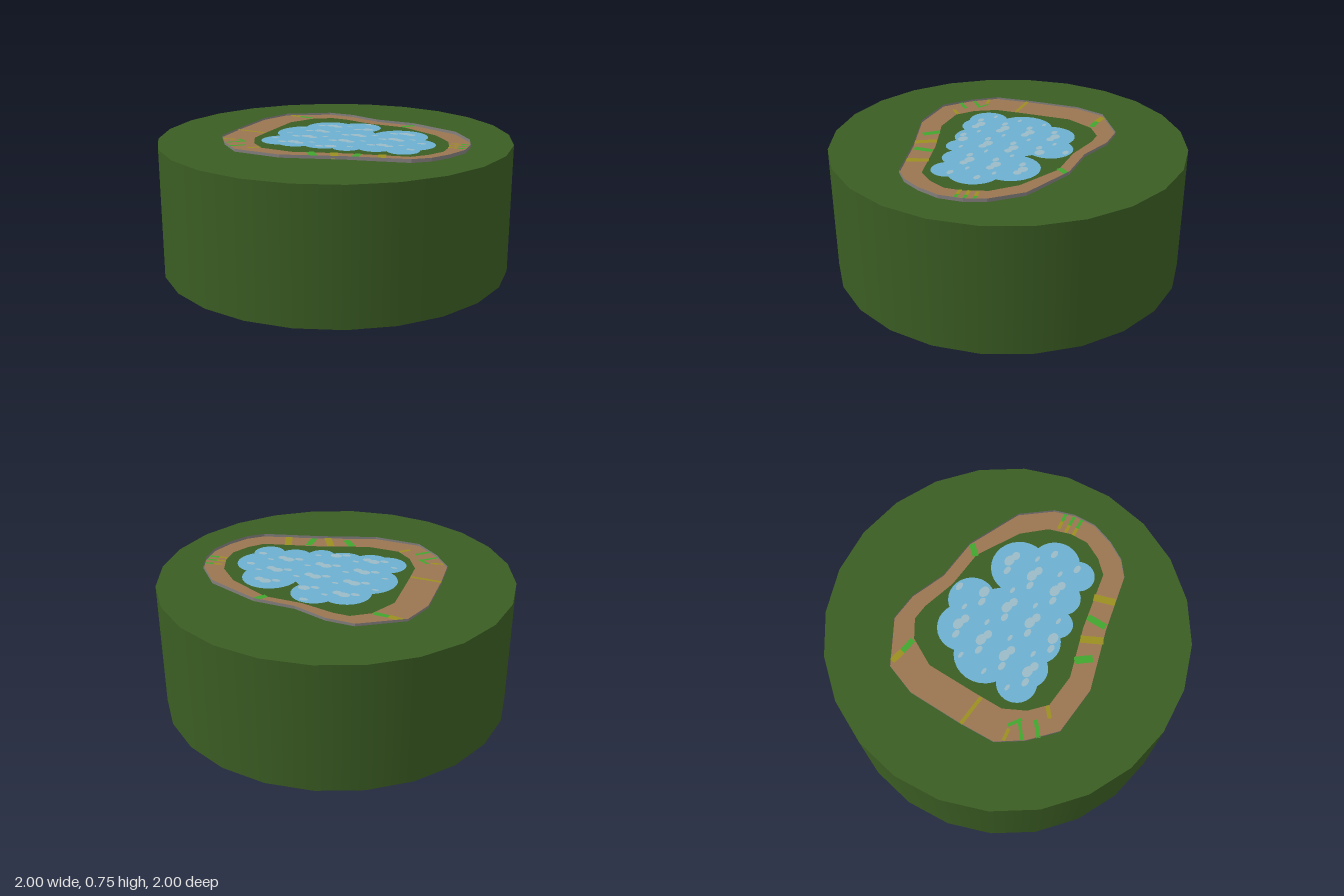
import * as THREE from 'three';

const TOP = 0.735;

const paint = (name, color, side = THREE.FrontSide) => {
  const m = new THREE.MeshStandardMaterial({ color, side });
  m.name = name;
  return m;
};

// Outer and inner edge of the track as [x, z] points
const OUTER = [[-0.32, -0.53], [-0.16, -0.53], [0.04, -0.47], [0.28, -0.47], [0.59, -0.36], [0.73, -0.21],
  [0.775, -0.1], [0.79, 0.03], [0.755, 0.16], [0.7, 0.27], [0.62, 0.345], [0.3, 0.44], [-0.03, 0.565],
  [-0.305, 0.565], [-0.45, 0.45], [-0.555, 0.32], [-0.58, 0.11], [-0.6, -0.195], [-0.55, -0.375]];
const INNER = [[-0.255, -0.44], [-0.165, -0.44], [0.03, -0.4], [0.25, -0.4], [0.5, -0.285], [0.62, -0.17],
  [0.67, -0.05], [0.68, 0.055], [0.635, 0.16], [0.57, 0.24], [0.245, 0.33], [-0.03, 0.435],
  [-0.22, 0.435], [-0.315, 0.36], [-0.385, 0.245], [-0.4, 0.08], [-0.42, -0.21], [-0.35, -0.37]];

// Overlapping discs of the pond: x, z, radius
const POND = [[0.02, -0.26, 0.13], [-0.14, -0.2, 0.14], [0.33, -0.16, 0.16], [-0.19, -0.01, 0.17],
  [-0.225, 0.225, 0.11], [-0.125, 0.225, 0.11], [0.03, 0.18, 0.125], [0.18, 0.21, 0.08], [0.32, 0.14, 0.1],
  [0.48, 0.135, 0.09], [0.46, -0.01, 0.14], [0.02, -0.04, 0.2], [0.25, 0, 0.19], [-0.15, 0.12, 0.13]];

// Marks across the track: x1, z1, x2, z2, width
const YELLOW = [[-0.52, -0.385, -0.445, -0.375, 0.035], [-0.58, 0.122, -0.4, 0.122, 0.02],
  [-0.52, 0.355, -0.45, 0.34, 0.018], [-0.28, 0.48, -0.23, 0.43, 0.022], [0.18, 0.355, 0.245, 0.463, 0.042],
  [0.425, 0.275, 0.47, 0.388, 0.042], [0.655, -0.125, 0.705, -0.135, 0.018],
  [0.66, -0.08, 0.71, -0.088, 0.018], [0.67, -0.035, 0.72, -0.042, 0.018]];
const GREEN = [[-0.445, -0.375, -0.36, -0.37, 0.032], [0.24, -0.398, 0.288, -0.462, 0.034],
  [-0.44, 0.325, -0.37, 0.365, 0.018], [-0.46, 0.43, -0.39, 0.365, 0.018], [-0.4, 0.495, -0.33, 0.425, 0.022],
  [0.06, 0.4, 0.128, 0.473, 0.042], [0.31, 0.315, 0.318, 0.425, 0.038], [0.705, -0.135, 0.755, -0.145, 0.018],
  [0.71, -0.088, 0.77, -0.096, 0.018], [0.72, -0.042, 0.78, -0.05, 0.018]];

const inPond = (x, z, m) => POND.some(([cx, cz, r]) => Math.hypot(x - cx, z - cz) < r - m);

export function createModel() {
  const grass = paint('grass green', 0x3b5d23);
  const black = paint('underside black', 0x050505);
  const dirt = paint('dirt brown', 0x9b7550);
  const water = paint('water blue', 0x6cafcf);
  const foam = paint('pale water', 0x9abac6);
  const yellow = paint('mark yellow', 0x9a8f20);
  const green = paint('mark green', 0x42a52e);
  const grey = paint('wall grey', 0x84807e, THREE.DoubleSide);

  const model = new THREE.Group();
  model.name = 'pondIsland';
  const add = (name, geometry, material, y = 0, parent = model) => {
    const mesh = new THREE.Mesh(geometry, material);
    mesh.name = name;
    mesh.position.y = y;
    parent.add(mesh);
    return mesh;
  };
  const group = (name) => {
    const g = new THREE.Group();
    g.name = name;
    model.add(g);
    return g;
  };
  const points = (list) => list.map(([x, z]) => new THREE.Vector2(x, -z));

  // Round base with a dark underside
  const base = add('base', new THREE.CylinderGeometry(1, 1, TOP, 24), [grass, grass, black], TOP / 2);
  base.rotation.y = 0.015;

  // Flat track ring
  const ring = new THREE.Shape(points(OUTER));
  ring.holes.push(new THREE.Path(points(INNER)));
  add('track', new THREE.ShapeGeometry(ring).rotateX(-Math.PI / 2), dirt, TOP + 0.003);

  // Thin low wall along the outer edge
  const wall = [];
  OUTER.forEach(([ax, az], i) => {
    const [bx, bz] = OUTER[(i + 1) % OUTER.length];
    const h = (x) => 0.752 + 0.003 * Math.min(1, Math.max(-1, x * 2));
    wall.push(ax, TOP, az, ax, h(ax), az, bx, h(bx), bz, ax, TOP, az, bx, h(bx), bz, bx, TOP, bz);
  });
  const wallGeometry = new THREE.BufferGeometry();
  wallGeometry.setAttribute('position', new THREE.Float32BufferAttribute(wall, 3));
  wallGeometry.computeVertexNormals();
  add('outerWall', wallGeometry, grey);

  // Painted marks across the track
  const marks = group('trackMarks');
  [[YELLOW, yellow, 'yellowMark'], [GREEN, green, 'greenMark']].forEach(([list, material, name]) => {
    list.forEach(([x1, z1, x2, z2, width]) => {
      const plate = new THREE.PlaneGeometry(Math.hypot(x2 - x1, z2 - z1), width).rotateX(-Math.PI / 2);
      const mark = add(name, plate, material, TOP + 0.006, marks);
      mark.position.x = (x1 + x2) / 2;
      mark.position.z = (z1 + z2) / 2;
      mark.rotation.y = -Math.atan2(z2 - z1, x2 - x1);
    });
  });

  // Pond made of overlapping discs
  const pond = group('pond');
  const disc = (name, material, x, z, rx, rz, y) => {
    const d = add(name, new THREE.CircleGeometry(1, 28).rotateX(-Math.PI / 2), material, y, pond);
    d.position.x = x;
    d.position.z = z;
    d.scale.set(rx, 1, rz);
  };
  POND.forEach(([x, z, r]) => disc('waterDisc', water, x, z, r, r, TOP + 0.003));

  // Repeating pale ripples, kept inside the water
  for (let row = 0; row < 5; row++) {
    for (let col = 0; col < 5; col++) {
      const x = -0.375 + col * 0.235, z = -0.385 + row * 0.155;
      [[0, 0, 0.034, 0.026], [0.045, 0.012, 0.026, 0.022], [-0.055, 0.025, 0.026, 0.016],
        [0.1, -0.035, 0.02, 0.01]].forEach(([dx, dz, rx, rz]) => {
        if (inPond(x + dx, z + dz, rx)) disc('ripple', foam, x + dx, z + dz, rx, rz, TOP + 0.006);
      });
    }
  }
  return model;
}
